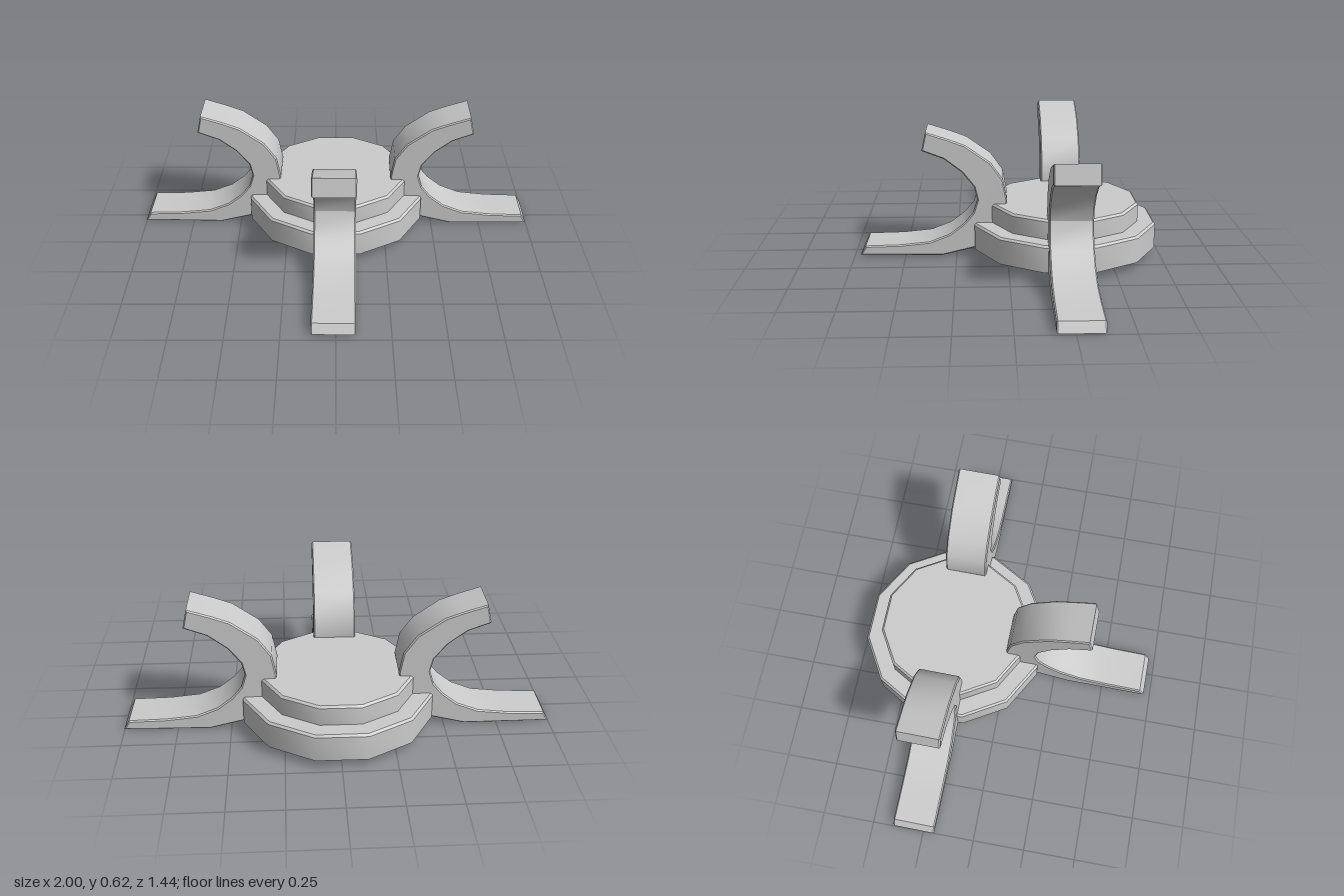
import * as THREE from 'three';
import { toCreasedNormals } from 'three/addons/utils/BufferGeometryUtils.js';

const CENTRE_Z = -0.28;
const pt = ([x, y]) => new THREE.Vector2(x, y);

// Side profile of one arm: distance from the hub axis, height
const ARM = [
  // flat foot and underside
  [0.6, 0], [1.0, 0.005], [0.975, 0.05],
  // outer concave curve, foot to tip
  [0.8, 0.055], [0.66, 0.07], [0.56, 0.11], [0.49, 0.165], [0.445, 0.22],
  [0.425, 0.285], [0.44, 0.35], [0.5, 0.425], [0.585, 0.49], [0.69, 0.53],
  // tip and inner convex curve back down into the hub
  [0.67, 0.62], [0.56, 0.585], [0.48, 0.555], [0.36, 0.47], [0.3, 0.385],
  [0.28, 0.28], [0.3, 0.18], [0.35, 0.1], [0.44, 0.04],
];

function armGeometry(width = 0.205, bevel = 0.006) {
  const geo = new THREE.ExtrudeGeometry(new THREE.Shape(ARM.map(pt)), {
    depth: width - 2 * bevel, steps: 1, bevelEnabled: true, bevelSegments: 1,
    bevelSize: bevel, bevelThickness: bevel, bevelOffset: -bevel,
  });
  geo.translate(0, 0, bevel - width / 2);
  return toCreasedNormals(geo, 0.5);
}

export function createModel() {
  const group = new THREE.Group();
  const grey = new THREE.MeshStandardMaterial({ color: 0xcccccc, side: THREE.DoubleSide });

  // Two-tier twelve-sided hub, hollow and open underneath
  const k = 1 / Math.cos(Math.PI / 12); // flat radius to corner radius
  const profile = [
    [0.44, 0.04], [0.44, 0.16], [0.43, 0.17], [0.356, 0.17],
    [0.356, 0.255], [0.346, 0.265], [0, 0.265],
  ].map(([r, y]) => new THREE.Vector2(r * k, y));
  const hub = new THREE.Mesh(
    toCreasedNormals(new THREE.LatheGeometry(profile, 12, Math.PI / 12), 0.6), grey);
  hub.name = 'hub';
  hub.position.z = CENTRE_Z;
  group.add(hub);

  // Three arms: left, front and right, turned very slightly about the hub
  const geo = armGeometry();
  const turns = { leftArm: 0, frontArm: -Math.PI / 2, rightArm: Math.PI };
  for (const [name, turn] of Object.entries(turns)) {
    const arm = new THREE.Mesh(geo, grey);
    arm.name = name;
    arm.rotation.y = turn - 0.012;
    arm.position.z = CENTRE_Z - (name === 'frontArm' ? 0 : 0.005);
    group.add(arm);
  }
  return group;
}
